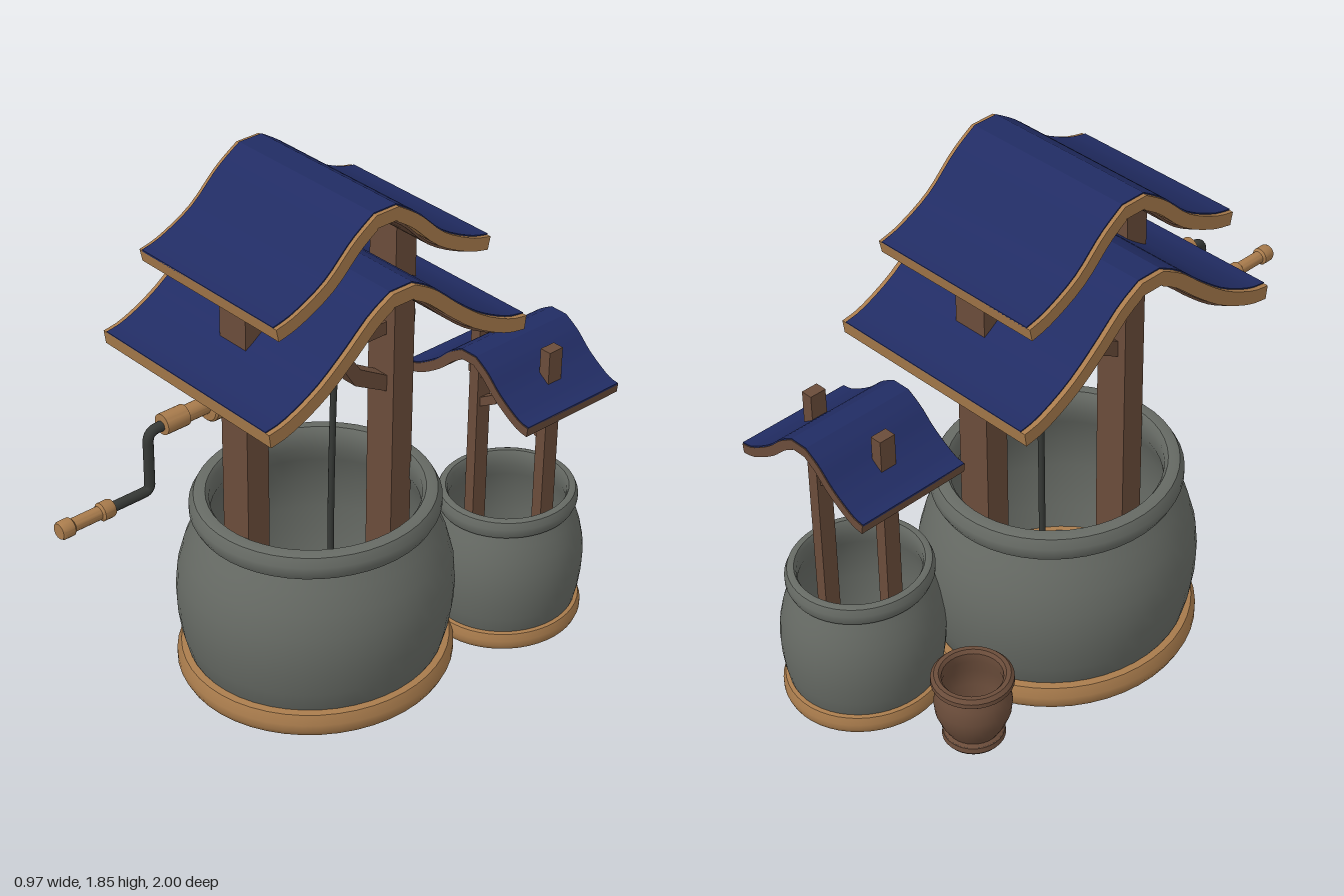
import * as THREE from 'three';
import { toCreasedNormals } from 'three/addons/utils/BufferGeometryUtils.js';

const mat = (name, color) => {
  const m = new THREE.MeshStandardMaterial({ color });
  m.name = name;
  return m;
};

export function createModel() {
  const stone = mat('stone', 0x666a64);
  const tan = mat('light wood', 0xa87b4c);
  const brown = mat('dark wood', 0x6a4c3a);
  const blue = mat('roof blue', 0x212c63);
  const iron = mat('iron', 0x363936);
  const floorGrey = mat('floor grey', 0x989898);

  const model = new THREE.Group();
  model.name = 'waterWell';

  const add = (parent, name, geo, material, x = 0, y = 0, z = 0) => {
    const mesh = new THREE.Mesh(geo, material);
    mesh.name = name;
    mesh.position.set(x, y, z);
    parent.add(mesh);
    return mesh;
  };
  const group = (name, x = 0, y = 0, z = 0) => {
    const g = new THREE.Group();
    g.name = name;
    g.position.set(x, y, z);
    model.add(g);
    return g;
  };
  const lathe = (pts, seg = 48) =>
    toCreasedNormals(new THREE.LatheGeometry(pts.map(p => new THREE.Vector2(...p)), seg), 0.6);
  const box = (parent, name, material, w, h, d, x, y, z) =>
    add(parent, name, new THREE.BoxGeometry(w, h, d), material, x, y, z);

  // Barrel-shaped stone basin with a rolled rim, wooden foot ring and floor
  function basin(name, x, y, z, r, h) {
    const g = group(name, x, y, z);
    g.scale.set(0.95 * r, h, r);
    add(g, 'stoneWall', lathe([
      [0.43, 0.06], [0.45, 0.1], [0.468, 0.17], [0.48, 0.25], [0.483, 0.32], [0.476, 0.4],
      [0.454, 0.48], [0.424, 0.55], [0.398, 0.6], [0.418, 0.605], [0.431, 0.63], [0.431, 0.655],
      [0.415, 0.685], [0.4, 0.69], [0.375, 0.69], [0.362, 0.67], [0.36, 0.61], [0.385, 0.55],
      [0.42, 0.45], [0.435, 0.32], [0.42, 0.15], [0.4, 0.05],
    ]), stone);
    add(g, 'footRing', lathe([
      [0.385, 0.05], [0.39, 0.01], [0.405, 0], [0.46, 0], [0.474, 0.008], [0.485, 0.03],
      [0.485, 0.055], [0.47, 0.088], [0.44, 0.092], [0.385, 0.05],
    ]), tan);
    add(g, 'basinFloor', new THREE.CylinderGeometry(0.41, 0.41, 0.02, 48), floorGrey, 0, 0.045, 0);
  }
  basin('largeBasin', -0.025, 0.01, -0.045, 1, 1);
  basin('smallBasin', 0.205, 0.015, -0.717, 0.58, 0.745);

  // Swept gable section: a smoothed half profile mirrored, with thickness t below it
  function roofSlab(half, t, lift, width) {
    const right = new THREE.SplineCurve(half.map(p => new THREE.Vector2(...p))).getPoints(14);
    const top = [...right, ...right.slice().reverse().map(p => new THREE.Vector2(-p.x, p.y))];
    const offset = d => top.map((p, i) => {
      const a = top[Math.max(i - 1, 0)], b = top[Math.min(i + 1, top.length - 1)];
      const n = new THREE.Vector2(b.y - a.y, a.x - b.x).normalize();
      return new THREE.Vector2(p.x + n.x * d, p.y + n.y * d);
    });
    const shape = new THREE.Shape([...offset(lift), ...offset(lift - t).reverse()]);
    const geo = new THREE.ExtrudeGeometry(shape, { depth: width, bevelEnabled: false });
    geo.translate(0, 0, -width / 2);
    return toCreasedNormals(geo, 0.45);
  }
  function roof(name, x, z, half, t, width, inset, edge, turn) {
    const g = group(name, x, 0, z);
    g.rotation.y = turn;
    add(g, 'roofFrame', roofSlab(half, t, 0, width), edge);
    add(g, 'roofCover', roofSlab(half, 0.008, 0.004, width - 2 * inset), blue);
    if (edge !== brown) {
      const inner = half.map(([u, y]) => [u * 0.96, y]);
      add(g, 'roofLining', roofSlab(inner, 0.008, -t + 0.002, width - 0.06), brown);
    }
  }
  roof('lowerRoof', -0.025, -0.045, [[0.538, 1.326], [0.463, 1.342], [0.345, 1.4], [0.238, 1.48],
    [0.131, 1.572], [0.045, 1.622]], 0.048, 0.81, 0.017, tan, Math.PI / 2);
  roof('upperRoof', -0.027, -0.045, [[0.44, 1.615], [0.36, 1.637], [0.24, 1.7], [0.134, 1.797],
    [0.045, 1.857]], 0.045, 0.655, 0.014, tan, Math.PI / 2);
  roof('smallRoof', 0.2, -0.72, [[0.283, 0.976], [0.235, 0.987], [0.15, 1.04], [0.09, 1.095],
    [0.033, 1.131]], 0.033, 0.424, 0.003, brown, 0);

  // Bent knee brace, drawn in a plane and extruded
  function brace(parent, pts, w, depth, side) {
    const [a, b, c] = pts;
    const shape = new THREE.Shape([
      [a[0], a[1] - w], [b[0] - w * 0.3, b[1] - w * 0.7], [c[0] - w * 0.9, c[1]],
      [c[0] + w * 0.5, c[1]], [b[0] + w * 0.3, b[1] + w * 0.7], [a[0], a[1] + w * 0.6],
    ].map(p => new THREE.Vector2(p[0] * side, p[1])));
    const geo = new THREE.ExtrudeGeometry(shape, { depth, bevelEnabled: false });
    add(parent, 'kneeBrace', geo, brown, 0, 0, -depth / 2);
  }

  // Main frame: posts, beams and braces, with local x running along the world z axis
  const frame = group('mainFrame', -0.008, 0, -0.045);
  frame.rotation.y = -Math.PI / 2;
  for (const s of [-1, 1]) {
    box(frame, 'post', brown, 0.088, 1.62, 0.125, s * 0.312, 0.82, 0);
    brace(frame, [[0.27, 1.02], [0.14, 1.085], [0.065, 1.21]], 0.038, 0.06, s);
  }
  box(frame, 'upperBeam', brown, 0.56, 0.045, 0.06, 0, 1.4, 0);
  box(frame, 'axleBeam', brown, 0.83, 0.048, 0.048, 0.02, 1.222, 0);

  // Small frame
  const smallFrame = group('smallFrame', 0.203, 0, -0.728);
  for (const s of [-1, 1]) {
    box(smallFrame, 'smallPost', brown, 0.042, 1.1, 0.06, s * 0.161, 0.59, 0);
    brace(smallFrame, [[0.142, 0.8], [0.075, 0.835], [0.04, 0.9]], 0.022, 0.035, s);
  }
  box(smallFrame, 'smallBeam', brown, 0.4, 0.027, 0.037, 0, 0.908, 0);

  // Rope coil and hanging rope
  const rope = group('rope', -0.008, 0, -0.04);
  for (let i = 0; i < 3; i++) {
    add(rope, 'ropeCoil', new THREE.TorusGeometry(0.042, 0.014, 8, 24), iron, 0, 1.222, 0.027 - i * 0.027);
  }
  const drop = new THREE.CatmullRomCurve3([[0.03, 1.25, -0.03], [0.042, 1.2, -0.03],
    [0.04, 1, -0.028], [0.038, 0.7, -0.024], [0.038, 0.2, -0.022]].map(p => new THREE.Vector3(...p)));
  add(rope, 'hangingRope', new THREE.TubeGeometry(drop, 24, 0.011, 8), iron);

  // Crank: turned wooden collar, iron rod and turned handle
  const crank = group('crank', -0.006, 0, 0);
  const turned = (name, pts, y) => {
    add(crank, name, lathe(pts, 20), tan, 0, y, 0).rotation.x = Math.PI / 2;
  };
  turned('crankCollar', [[0, 0.3], [0.042, 0.3], [0.042, 0.33], [0.058, 0.332], [0.058, 0.42],
    [0.052, 0.426], [0.028, 0.428], [0.028, 0.506], [0.035, 0.51], [0.035, 0.597], [0, 0.6]], 1.222);
  turned('crankHandle', [[0, 0.8], [0.027, 0.801], [0.03, 0.81], [0.03, 0.843], [0.022, 0.85],
    [0.022, 0.95], [0.03, 0.957], [0.03, 0.992], [0.026, 1], [0, 1]], 1.008);
  const v = (y, z) => new THREE.Vector3(0, y, z);
  const rod = new THREE.CurvePath();
  rod.add(new THREE.LineCurve3(v(1.218, 0.58), v(1.218, 0.615)));
  rod.add(new THREE.QuadraticBezierCurve3(v(1.218, 0.615), v(1.218, 0.652), v(1.18, 0.652)));
  rod.add(new THREE.LineCurve3(v(1.18, 0.652), v(1.03, 0.652)));
  rod.add(new THREE.QuadraticBezierCurve3(v(1.03, 0.652), v(1.006, 0.652), v(1.006, 0.676)));
  rod.add(new THREE.LineCurve3(v(1.006, 0.676), v(1.006, 0.82)));
  add(crank, 'crankRod', new THREE.TubeGeometry(rod, 60, 0.017, 10), iron);

  // Wooden pot beside the basins
  const pot = group('pot', -0.238, 0, -0.643);
  add(pot, 'potWall', lathe([
    [0.082, 0.03], [0.082, 0.01], [0.098, 0.01], [0.105, 0.02], [0.102, 0.038], [0.09, 0.048],
    [0.108, 0.08], [0.125, 0.125], [0.129, 0.165], [0.12, 0.21], [0.108, 0.235], [0.125, 0.24],
    [0.137, 0.252], [0.136, 0.268], [0.125, 0.28], [0.11, 0.28], [0.101, 0.268], [0.1, 0.235],
    [0.116, 0.18], [0.114, 0.12], [0.1, 0.03],
  ], 32), brown);
  add(pot, 'potFloor', new THREE.CylinderGeometry(0.1, 0.088, 0.012, 32), floorGrey, 0, 0.034, 0);

  return model;
}
